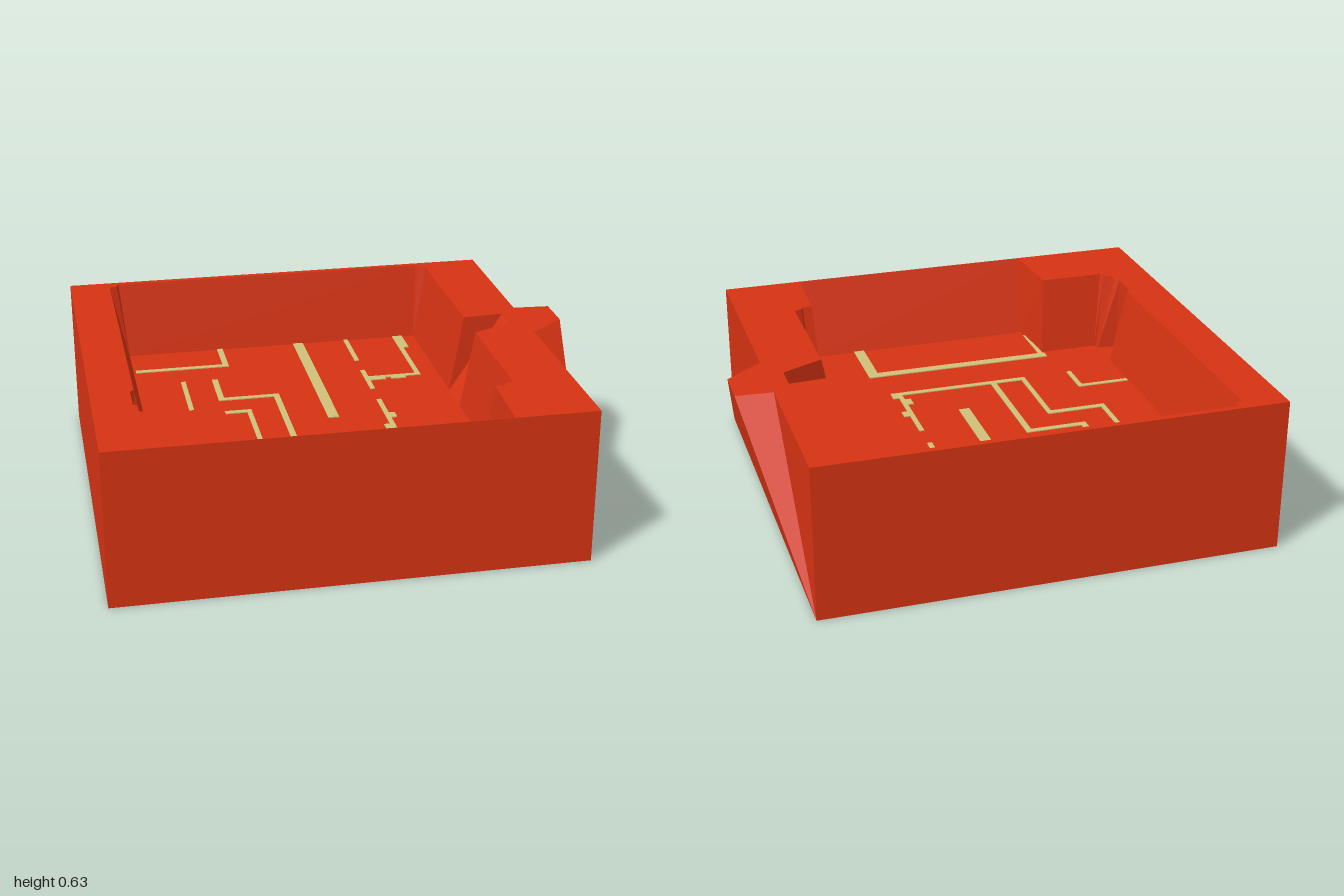
import * as THREE from 'three';

const FLOOR = 0.31, TOP = 0.63;

const red = new THREE.MeshStandardMaterial({ color: 0xd63313, flatShading: true, side: THREE.DoubleSide });
const yellow = new THREE.MeshStandardMaterial({ color: 0xd0c078 });

// Outer block: [bottom x, z, top x, z], counterclockwise from the front left corner
const OUTER = [
  [-1, 0.88, -1, 0.88],
  [0.85, 0.88, 0.85, 0.88],
  [0.85, 0.88, 0.85, 0.06], // leaning lip on the side
  [0.85, 0.88, 1, -0.06],
  [0.85, -0.88, 1, -0.22],
  [0.85, -0.88, 0.85, -0.23],
  [0.85, -0.88, 0.85, -0.88],
  [-1, -0.88, -1, -0.88],
];

// Sunken room: [floor x, z, rim x, z], clockwise from the back corner
const ROOM = [
  [-0.76, -0.79, -0.79, -0.855],
  [0.55, -0.79, 0.57, -0.855],
  [0.55, -0.79, 0.58, -0.83], // stepped corner
  [0.55, -0.79, 0.61, -0.82],
  [0.55, -0.14, 0.61, -0.16],
  [0.55, -0.14, 0.78, -0.17], // ramp through the side wall
  [0.55, 0.03, 0.78, -0.06],
  [0.55, 0.03, 0.61, 0.02],
  [0.55, 0.52, 0.61, 0.55],
  [0.55, 0.52, 0.58, 0.56], // stepped corner
  [0.54, 0.52, 0.57, 0.58],
  [0.51, 0.52, 0.53, 0.58],
  [0.50, 0.76, 0.52, 0.878], // front alcove
  [-0.48, 0.76, -0.50, 0.878],
  [-0.50, 0.52, -0.52, 0.58],
  [-0.75, 0.52, -0.79, 0.58],
  [-0.76, 0.52, -0.80, 0.56], // stepped corner
  [-0.76, 0.51, -0.83, 0.55],
  [-0.76, 0.50, -0.83, 0.50],
  [-0.84, 0.48, -0.845, 0.48], // doorway niche
  [-0.84, 0.36, -0.845, 0.36],
  [-0.76, 0.35, -0.83, 0.35],
  [-0.76, -0.78, -0.83, -0.82],
  [-0.76, -0.78, -0.80, -0.83],
];

// Floor strips: x0, z0, x1, z1
const STRIPS = [
  [-0.75, -0.605, -0.34, -0.58], [-0.365, -0.79, -0.34, -0.58],
  [-0.015, -0.79, 0.03, 0.05], [0.22, -0.79, 0.24, -0.535],
  [0.45, -0.79, 0.495, -0.65], [0.45, -0.65, 0.47, -0.325],
  [0.22, -0.345, 0.47, -0.325], [0.22, -0.42, 0.24, -0.21],
  [0.24, -0.325, 0.31, -0.305], [0.335, -0.325, 0.4, -0.305],
  [0.22, -0.095, 0.24, 0.255], [0.24, 0.05, 0.265, 0.095],
  [0.195, 0.16, 0.22, 0.21], [0.24, 0.23, 0.265, 0.28],
  [-0.335, 0.255, 0.24, 0.28], [-0.335, -0.095, -0.315, 0.28],
  [-0.57, -0.095, -0.315, -0.07], [-0.57, -0.44, -0.55, -0.07],
  [-0.435, -0.44, -0.41, -0.21], [-0.435, -0.235, -0.175, -0.21],
  [-0.2, -0.235, -0.175, 0.255], [-0.755, 0.12, -0.53, 0.14],
  [-0.55, 0.12, -0.53, 0.28], [-0.505, 0.465, 0.31, 0.505],
  [0.265, 0.465, 0.31, 0.76], [-0.497, 0.465, -0.478, 0.72],
];

// Walls joining a low loop to a high loop
function wallGeometry(loop, y0, y1) {
  const pos = [];
  loop.forEach((p, i) => {
    const q = loop[(i + 1) % loop.length];
    const a = [p[0], y0, p[1]], b = [q[0], y0, q[1]];
    const c = [q[2], y1, q[3]], d = [p[2], y1, p[3]];
    pos.push(...a, ...b, ...c, ...a, ...c, ...d);
  });
  const g = new THREE.BufferGeometry();
  g.setAttribute('position', new THREE.Float32BufferAttribute(pos, 3));
  g.computeVertexNormals();
  return g;
}

// Flat level surface; k picks the low (0) or high (2) loop
function flatGeometry(loop, k, y, holeLoop) {
  const points = (l) => l.map((p) => new THREE.Vector2(p[k], -p[k + 1]))
    .filter((p, i, all) => i === 0 || p.distanceTo(all[i - 1]) > 1e-4);
  const shape = new THREE.Shape(points(loop));
  if (holeLoop) shape.holes.push(new THREE.Path(points(holeLoop)));
  return new THREE.ShapeGeometry(shape).rotateX(-Math.PI / 2).translate(0, y, 0);
}

export function createModel() {
  const group = new THREE.Group();
  const add = (name, geometry, material = red, parent = group) => {
    const mesh = new THREE.Mesh(geometry, material);
    mesh.name = name;
    parent.add(mesh);
    return mesh;
  };

  // Solid block around the room
  add('outerWalls', wallGeometry(OUTER, 0, TOP));
  add('rim', flatGeometry(OUTER, 2, TOP, ROOM));
  add('base', new THREE.PlaneGeometry(1.85, 1.76).rotateX(Math.PI / 2).translate(-0.075, 0, 0));

  // Room cut into the block
  add('roomWalls', wallGeometry(ROOM, FLOOR, TOP));
  add('roomFloor', flatGeometry(ROOM, 0, FLOOR));

  // Thin floor plan strips
  const plan = new THREE.Group();
  plan.name = 'floorPlan';
  group.add(plan);
  for (const [x0, z0, x1, z1] of STRIPS) {
    const g = new THREE.BoxGeometry(x1 - x0, 0.008, z1 - z0);
    add('floorStrip', g.translate((x0 + x1) / 2, FLOOR, (z0 + z1) / 2), yellow, plan);
  }
  return group;
}
